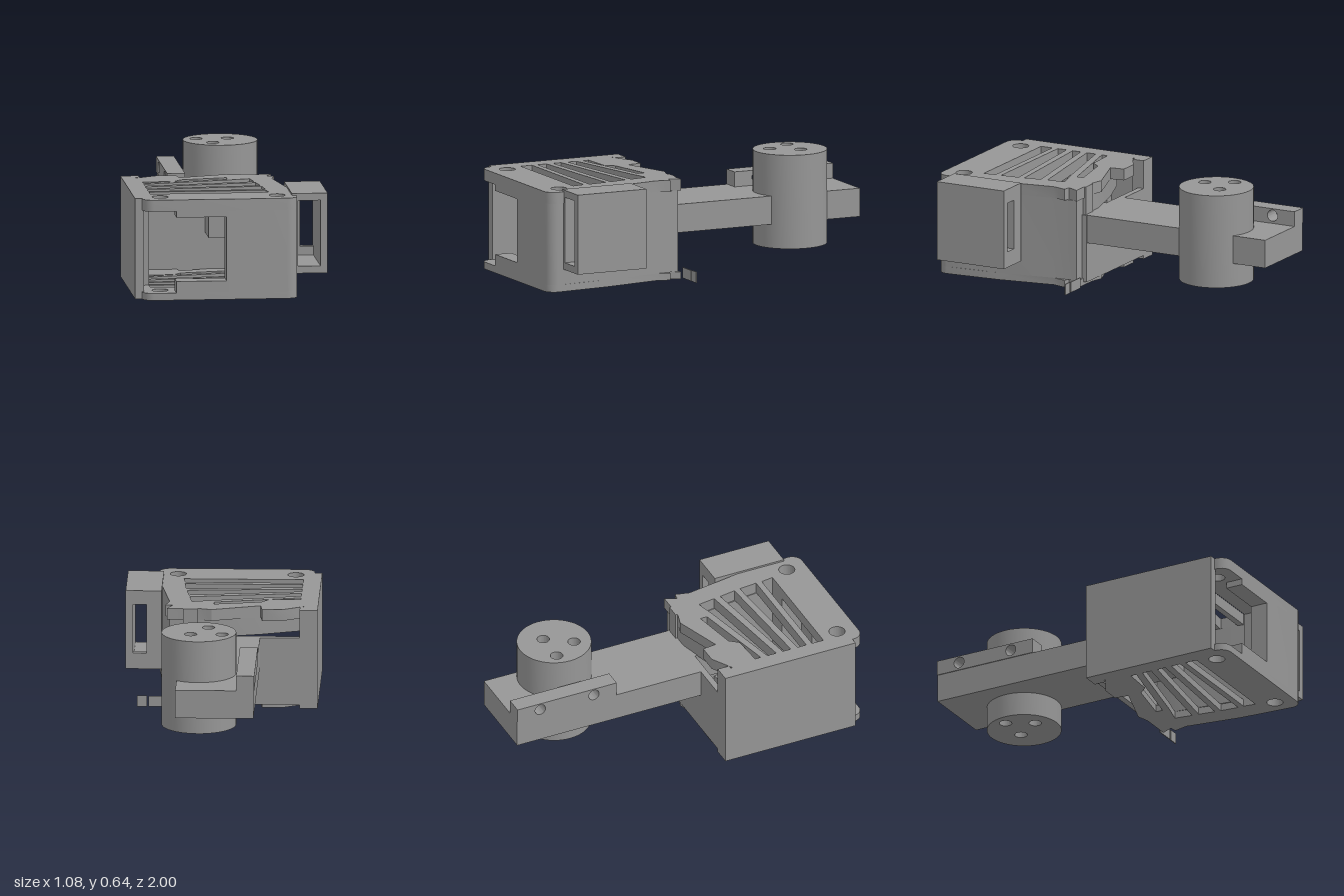
import * as THREE from 'three';
import { toCreasedNormals } from 'three/addons/utils/BufferGeometryUtils.js';

const grey = new THREE.MeshStandardMaterial({ color: 0x969696 });
grey.name = 'plain grey';

// closed outline from [u, v] pairs
const path = (pts, Type = THREE.Path) => new Type(pts.map(([u, v]) => new THREE.Vector2(u, v)));
const circle = (u, v, r, Type = THREE.Path) => new Type().absarc(u, v, r, 0, Math.PI * 2, false);
const rect = (u0, v0, u1, v1) => [[u0, v0], [u1, v0], [u1, v1], [u0, v1]];
const plan = (pts) => pts.map(([x, z]) => [x, -z]);

function extrude(shape, holes, depth) {
  shape.holes.push(...holes);
  const geo = new THREE.ExtrudeGeometry(shape, { depth, bevelEnabled: false, curveSegments: 24 });
  return toCreasedNormals(geo, 0.6);
}

// quarter arc used for the rounded housing corners
function corner(cx, cz, r, from) {
  return Array.from({ length: 9 }, (_, i) => {
    const a = from + (i / 8) * Math.PI / 2;
    return [cx + r * Math.cos(a), cz + r * Math.sin(a)];
  });
}

export function createModel() {
  const model = new THREE.Group();
  const add = (name, geo) => {
    const mesh = new THREE.Mesh(geo, grey);
    mesh.name = name;
    model.add(mesh);
    return mesh;
  };
  const box = (name, x0, x1, y0, y1, z0, z1) => {
    add(name, new THREE.BoxGeometry(x1 - x0, y1 - y0, z1 - z0)
      .translate((x0 + x1) / 2, (y0 + y1) / 2, (z0 + z1) / 2));
  };
  // plan outline extruded upwards from y0 to y1
  const slab = (name, shape, holes, y0, y1) =>
    add(name, extrude(shape, holes, y1 - y0).rotateX(-Math.PI / 2).translate(0, y0, 0));

  // vented top and bottom plates
  const outline = [
    ...corner(0.305, 0.94, 0.06, 0), ...corner(-0.44, 0.94, 0.06, Math.PI / 2),
    [-0.5, 0.13], [-0.46, 0.21], [-0.34, 0.14], [-0.23, 0.14], [-0.22, 0.22], [0.05, 0.13],
    [0.12, 0.15], [0.30, 0.15], [0.27, 0.215], [0.31, 0.22], [0.29, 0.3], [0.34, 0.62],
  ];
  const slots = [
    [[-0.44, 0.78], [0.225, 0.78], [0.215, 0.71], [-0.44, 0.71]],
    [[-0.44, 0.675], [0.215, 0.675], [0.205, 0.57], [-0.44, 0.62]],
    [[-0.44, 0.58], [0.2, 0.535], [0.185, 0.44], [-0.44, 0.53]],
    [[-0.44, 0.49], [0.18, 0.4], [0.165, 0.3], [0.05, 0.33], [-0.44, 0.435]],
    [[-0.44, 0.395], [0.04, 0.29], [0.04, 0.25], [-0.22, 0.3], [-0.26, 0.35], [-0.44, 0.36]],
  ];
  const screws = [-0.395, 0.26];
  for (const [name, y0, y1] of [['bottomPlate', 0, 0.04], ['topPlate', 0.5, 0.565]]) {
    const holes = [...slots.map((s) => path(plan(s))), ...screws.map((x) => circle(x, -0.885, 0.045))];
    slab(name, path(plan(outline), THREE.Shape), holes, y0, y1);
  }

  // solid front post with its screw hole
  slab('frontPost', path(plan([
    ...corner(0.305, 0.94, 0.06, 0), [-0.035, 1], [-0.035, 0.9], [0.1, 0.9], [0.1, 0.78], [0.35, 0.78],
  ]), THREE.Shape), [circle(0.26, -0.885, 0.045)], 0.04, 0.5);

  // sill and lintel of the front window
  box('windowSill', -0.315, -0.035, 0.04, 0.105, 0.9, 1);
  box('windowLintel', -0.315, -0.035, 0.465, 0.5, 0.9, 1);

  // side walls
  box('rightWall', -0.54, -0.49, 0, 0.565, 0.13, 0.93);
  box('rightWallRearEnd', -0.5, -0.44, 0, 0.565, 0.13, 0.2);
  slab('leftWall', path(plan([
    [0.225, 0.78], [0.35, 0.78], [0.34, 0.62], [0.29, 0.3], [0.285, 0.16], [0.2, 0.16], [0.165, 0.32],
  ]), THREE.Shape), [], 0.04, 0.5);

  // upright ribs along the inside of the right wall
  for (const z of [0.38, 0.415, 0.51, 0.6, 0.69]) {
    box('wallRib', -0.49, -0.44, 0.04, 0.5, z - 0.018, z + 0.018);
  }

  // rear wall and the slanted vane above the arm
  box('rearWall', -0.5, 0.22, 0.02, 0.405, 0.13, 0.165);
  slab('rearVane', path(plan([
    [-0.44, 0.3], [-0.22, 0.22], [0.05, 0.15], [0.13, 0.15], [0.13, 0.19], [0.04, 0.2], [-0.22, 0.28], [-0.44, 0.35],
  ]), THREE.Shape), [], 0.4, 0.5);
  box('rearBlock', 0.13, 0.21, 0.4, 0.565, 0.14, 0.21);

  // small thin tabs at the rear foot
  box('footTab', 0.29, 0.4, 0.003, 0.063, 0.13, 0.136);
  box('footTab', 0.41, 0.465, 0.003, 0.065, 0.13, 0.136);

  // side box: deep frame closed by a back plate with a smaller opening
  add('sideBoxFrame', extrude(path(rect(0.34, 0.125, 0.54, 0.575), THREE.Shape),
    [path(rect(0.375, 0.165, 0.5, 0.535))], 0.385).translate(0, 0, 0.52));
  add('sideBoxBack', extrude(path(rect(0.34, 0.125, 0.54, 0.575), THREE.Shape),
    [path(rect(0.425, 0.215, 0.5, 0.495))], 0.04).translate(0, 0, 0.48));

  // arm, in two lengths around the drum, with its stub inside the housing
  const drumX = 0.095, drumZ = -0.625, drumR = 0.208;
  const armCut = [];
  for (let i = 0; i <= 32; i++) {
    const a = -0.96 + (i / 32) * (Math.PI * 2 - 2 * 0.96 + 0.0);
    const t = a + 1.92;
    armCut.push([drumX + drumR * Math.cos(t), drumZ + drumR * Math.sin(t)]);
  }
  slab('arm', path(plan([
    [0.215, 0.16], [-0.22, 0.16], [-0.22, -1], [0.215, -1],
    ...armCut.filter(([x]) => x < 0.215).reverse(),
  ]), THREE.Shape), [], 0.245, 0.405);
  box('armStub', -0.07, 0.16, 0.245, 0.405, 0.16, 0.36);

  // raised rail with two cross holes
  add('armRail', extrude(path(rect(0.39, 0.405, 1, 0.49), THREE.Shape),
    [0.53, 0.86].map((u) => circle(u, 0.45, 0.032)), 0.1)
    .rotateY(Math.PI / 2).translate(-0.225, 0, 0));

  // drum with three through holes
  slab('drum', circle(drumX, -drumZ, drumR, THREE.Shape),
    [[-0.035, -0.67], [0.14, -0.67], [0.045, -0.525]].map(([x, z]) => circle(x, -z, 0.035)), 0.11, 0.64);

  return model;
}
